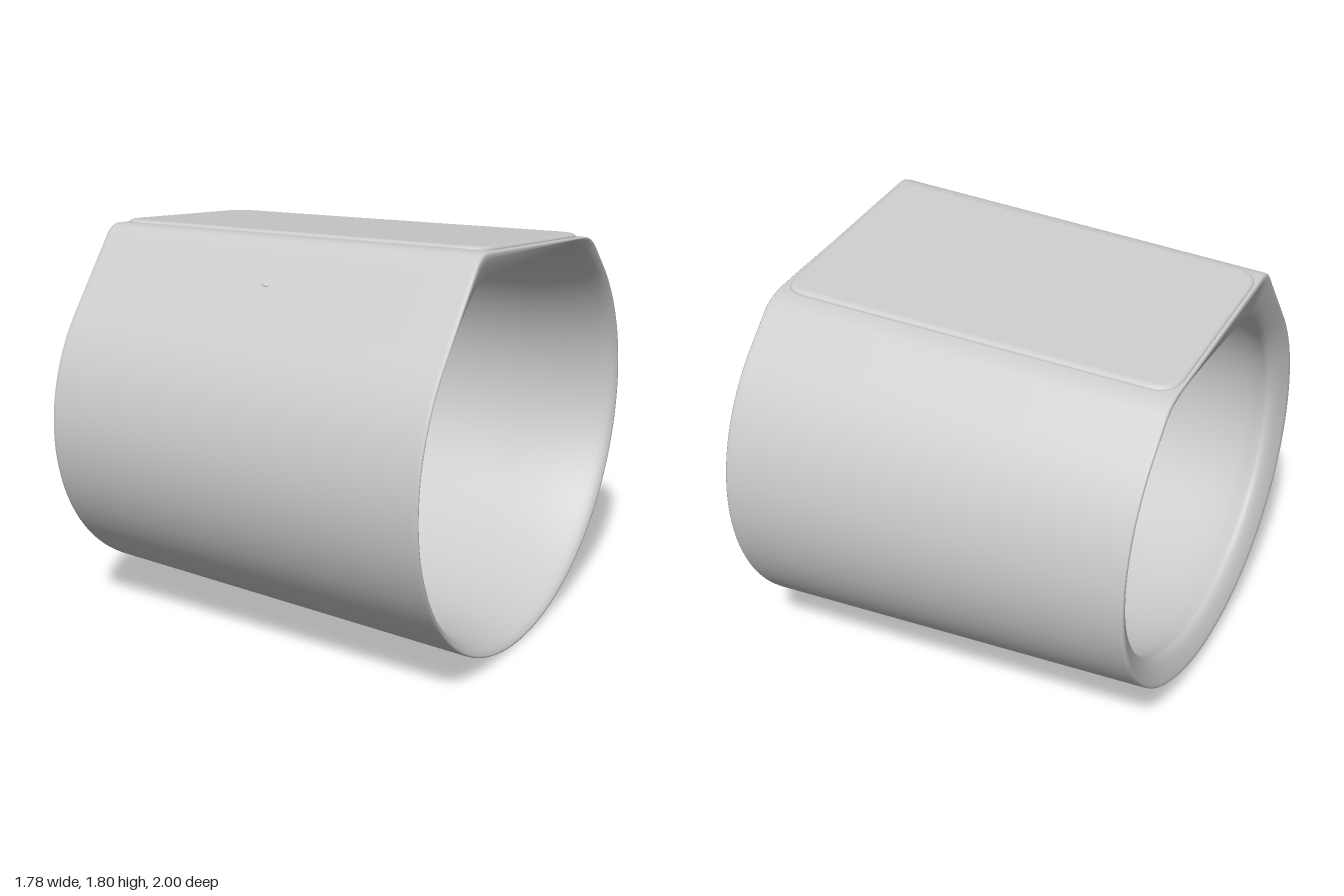
import * as THREE from 'three';

const CY = 0.9;                              // height of the bore axis
const taper = x => 0.96 + 0.045 * x;         // outer size along the axis
const topY = (x, z) => CY + 0.85 * taper(x) + 0.122 * z; // sloping flat on top

// Turns a closed (z, y) path into a radius-by-angle function
function polar(path) {
  const pts = path.getSpacedPoints(1500).map(p => [Math.atan2(p.y, p.x), p.length()]);
  pts.sort((a, b) => a[0] - b[0]);
  return angle => {
    const a = Math.atan2(Math.sin(angle), Math.cos(angle));
    const i = pts.findIndex(p => p[0] >= a);
    if (i <= 0) return pts[i < 0 ? pts.length - 1 : 0][1];
    const [a0, r0] = pts[i - 1], [a1, r1] = pts[i];
    return r0 + (r1 - r0) * (a - a0) / (a1 - a0 || 1);
  };
}

// Outer section: ellipse with a sloping flat and straight shoulders
function outerSection() {
  const p = new THREE.Path();
  p.moveTo(0.82, 0.515);
  p.lineTo(0.55, 0.847);
  p.quadraticCurveTo(0.512, 0.895, 0.45, 0.889);
  p.lineTo(-0.5, 0.773);
  p.quadraticCurveTo(-0.575, 0.764, -0.625, 0.723);
  p.lineTo(-0.75, 0.595);
  p.absellipse(0, 0, 1, 0.9, 2.419, Math.PI * 2 + 0.609, false);
  return polar(p);
}

// Bore section: ellipse with a level ceiling
function innerSection() {
  const p = new THREE.Path();
  p.moveTo(0.6216, 0.705);
  p.quadraticCurveTo(0.5026, 0.79, 0.38, 0.79);
  p.lineTo(-0.38, 0.79);
  p.quadraticCurveTo(-0.5026, 0.79, -0.6216, 0.705);
  p.absellipse(0, 0, 1, 0.9, Math.PI - 0.9, Math.PI * 2 + 0.9, false);
  return polar(p);
}

// Closed loft: outside, wide flared rim, tapering bore, narrow flared rim
function sleeveGeometry() {
  const N = 300, outer = outerSection(), inner = innerSection();
  const rows = []; // [x, bore scale, blend from outer to bore]
  for (let i = 0; i <= 10; i++) rows.push([-0.87 + i * 0.174, 0.9, 0]);
  rows.push([0.885, 0.95, 0.02], [0.89, 0.95, 0.09], [0.888, 0.95, 0.22], [0.881, 0.95, 0.45],
    [0.868, 0.95, 0.7], [0.845, 0.95, 0.9]);
  rows.push([0.81, 0.943, 1], [0.74, 0.925, 1], [0.64, 0.908, 1], [0.48, 0.894, 1], [0.2, 0.88, 1],
    [-0.1, 0.866, 1], [-0.4, 0.852, 1], [-0.6, 0.84, 1], [-0.72, 0.826, 1], [-0.78, 0.81, 1], [-0.81, 0.8, 1], [-0.825, 0.8, 1]);
  rows.push([-0.842, 0.8, 0.91], [-0.858, 0.8, 0.7], [-0.873, 0.8, 0.45], [-0.885, 0.8, 0.2], [-0.89, 0.8, 0.07], [-0.884, 0.8, 0.01]);
  const pos = [], idx = [], R = rows.length;
  const radii = Array.from({ length: N }, (_, j) => {
    const a = j / N * Math.PI * 2;
    return [a, outer(a), inner(a)];
  });
  rows.forEach(([x, s, mix]) => radii.forEach(([a, ro, ri]) => {
    const r = THREE.MathUtils.lerp(ro * taper(x), ri * s, mix);
    pos.push(x, CY + r * Math.sin(a), r * Math.cos(a));
  }));
  for (let i = 0; i < R; i++) {
    for (let j = 0; j < N; j++) {
      const i2 = (i + 1) % R, j2 = (j + 1) % N;
      const a = i * N + j, b = i2 * N + j, c = i2 * N + j2, d = i * N + j2;
      idx.push(a, b, c, a, c, d);
    }
  }
  const g = new THREE.BufferGeometry();
  g.setAttribute('position', new THREE.Float32BufferAttribute(pos, 3));
  g.setIndex(idx);
  g.computeVertexNormals();
  return g;
}

// Slightly raised panel with soft edges on the sloping flat
function panelGeometry() {
  const corners = [[-0.875, -0.42], [0.87, -0.445], [0.87, 0.53], [-0.875, 0.49]]
    .map(c => new THREE.Vector2(...c));
  const shape = new THREE.Shape();
  corners.forEach((c, i) => {
    const toward = k => c.clone().add(corners[(i + k) % 4].clone().sub(c).setLength(0.11));
    const a = toward(3), b = toward(1);
    if (i) shape.lineTo(a.x, a.y); else shape.moveTo(a.x, a.y);
    shape.quadraticCurveTo(c.x, c.y, b.x, b.y);
  });
  shape.closePath();
  const g = new THREE.ExtrudeGeometry(shape, {
    depth: 0.002, bevelSize: 0.025, bevelThickness: 0.016, bevelOffset: -0.025, bevelSegments: 5, curveSegments: 10,
  });
  const p = g.attributes.position;
  for (let i = 0; i < p.count; i++) {
    const x = p.getX(i), z = -p.getY(i);
    p.setXYZ(i, x, topY(x, z) + p.getZ(i) - 0.018, z);
  }
  g.computeVertexNormals();
  return g;
}

export function createModel() {
  const group = new THREE.Group();
  const material = new THREE.MeshStandardMaterial({ color: 0xcccccc });
  const add = (name, geometry) => {
    const mesh = new THREE.Mesh(geometry, material);
    mesh.name = name;
    group.add(mesh);
    return mesh;
  };
  add('sleeve', sleeveGeometry());
  add('topPanel', panelGeometry());

  // Tiny pip on the front shoulder
  const pip = add('frontPip', new THREE.SphereGeometry(0.018, 16, 10));
  pip.scale.set(1, 0.5, 0.25);
  pip.position.set(0, 1.592, 0.628);
  pip.rotation.x = -0.68;
  return group;
}
